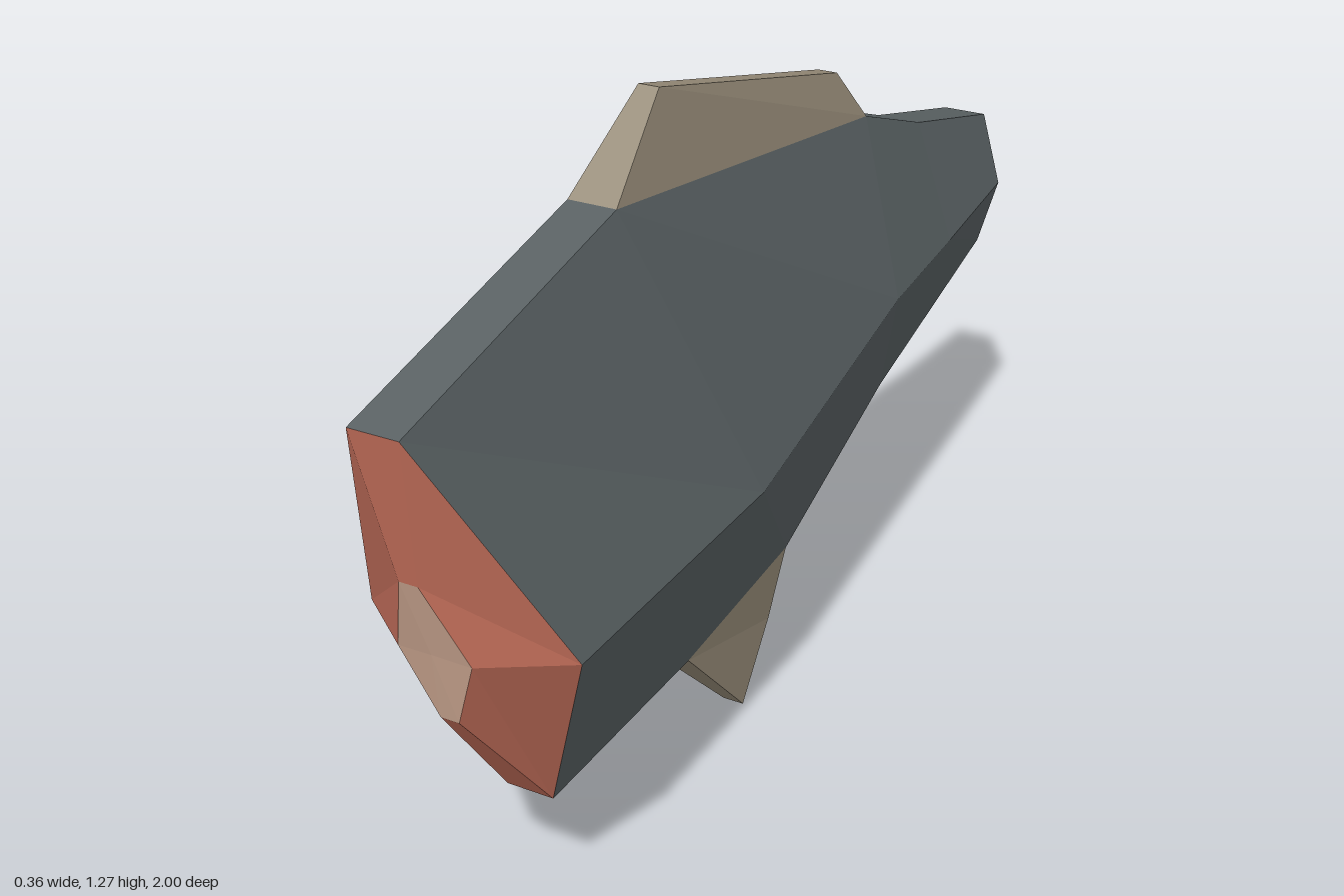
import * as THREE from 'three';

const paint = (name, color) => {
  const m = new THREE.MeshStandardMaterial({ color });
  m.name = name;
  return m;
};

// Six-cornered section from top, side and bottom points, anticlockwise seen from the front
const section = (edge, [yT, zT], [w, yM, zM], [yB, zB]) => [
  [edge, yT, zT], [-edge, yT, zT], [-w, yM, zM],
  [-edge, yB, zB], [edge, yB, zB], [w, yM, zM],
];

// Four-cornered fin section from its front and rear points, anticlockwise seen from above
const finSection = (w, [yF, zF], [yR, zR]) => [
  [w, yF, zF], [w, yR, zR], [-w, yR, zR], [-w, yF, zF],
];

const toGeometry = (points) => {
  const g = new THREE.BufferGeometry();
  g.setAttribute('position', new THREE.Float32BufferAttribute(points.flat(), 3));
  g.computeVertexNormals(); // unshared corners give flat facets
  return g;
};

// Skin between successive sections, with mirrored diagonals
function loft(rings) {
  const out = [];
  for (let i = 0; i < rings.length - 1; i++) {
    const f = rings[i], b = rings[i + 1], n = f.length;
    for (let j = 0; j < n; j++) {
      const k = (j + 1) % n;
      if (j >= 4) out.push(f[j], b[j], f[k], f[k], b[j], b[k]);
      else out.push(f[j], b[j], b[k], f[j], b[k], f[k]);
    }
  }
  return toGeometry(out);
}

// Fan that closes a section
function cap(ring, reverse = false) {
  const c = [0, 1, 2].map((a) => ring.reduce((s, p) => s + p[a], 0) / ring.length);
  const out = [];
  ring.forEach((p, j) => {
    const q = ring[(j + 1) % ring.length];
    if (reverse) out.push(c, q, p);
    else out.push(c, p, q);
  });
  return toGeometry(out);
}

export function createModel() {
  const group = new THREE.Group();
  const skin = paint('dark skin', 0x5a6264);
  const flesh = paint('red flesh', 0xc46f5b);
  const core = paint('pale core', 0xcda892);
  const finColor = paint('tan fin', 0x968b78);

  const add = (name, geometry, material, parent = group) => {
    const mesh = new THREE.Mesh(geometry, material);
    mesh.name = name;
    parent.add(mesh);
  };

  // Body, from the slanted front cut to the tail cut
  const e = 0.042;
  const body = [
    section(e, [1.025, 1.0], [0.182, 0.61, 0.805], [0.245, 0.685]),
    section(e, [1.145, 0.45], [0.182, 0.61, 0.25], [0.245, 0.255]),
    section(e, [1.01, -0.41], [0.143, 0.698, -0.35], [0.275, -0.11]),
    section(e, [0.92, -0.65], [0.116, 0.695, -0.65], [0.43, -0.51]),
    section(e, [0.83, -0.98], [0.086, 0.695, -0.967], [0.555, -0.98]),
  ];
  add('body', loft(body), skin);

  // Cut ends: bulging flesh around a pale core
  const frontCore = section(0.016, [0.77, 0.95], [0.063, 0.625, 0.903], [0.5, 0.878]);
  add('frontFlesh', loft([frontCore, body[0]]), flesh);
  add('frontCore', cap(frontCore), core);

  const tailCore = section(0.012, [0.74, -1], [0.026, 0.695, -1], [0.65, -1]);
  add('tailFlesh', loft([body[4], tailCore]), flesh);
  add('tailCore', cap(tailCore, true), core);

  // Fins, tapering away from the body
  const fin = (name, base, tip, up) => {
    const g = new THREE.Group();
    g.name = name;
    add(name + 'Sides', loft(up ? [tip, base] : [base, tip]), finColor, g);
    add(name + 'Edge', cap(tip, !up), finColor, g);
    group.add(g);
  };
  fin('topFin', finSection(e, [1.145, 0.45], [1.01, -0.41]),
    finSection(0.018, [1.275, 0.28], [1.11, -0.335]), true);
  fin('bottomFin', finSection(e, [0.245, 0.255], [0.275, -0.11]),
    finSection(0.02, [0, 0.015], [0.13, -0.085]), false);

  return group;
}
